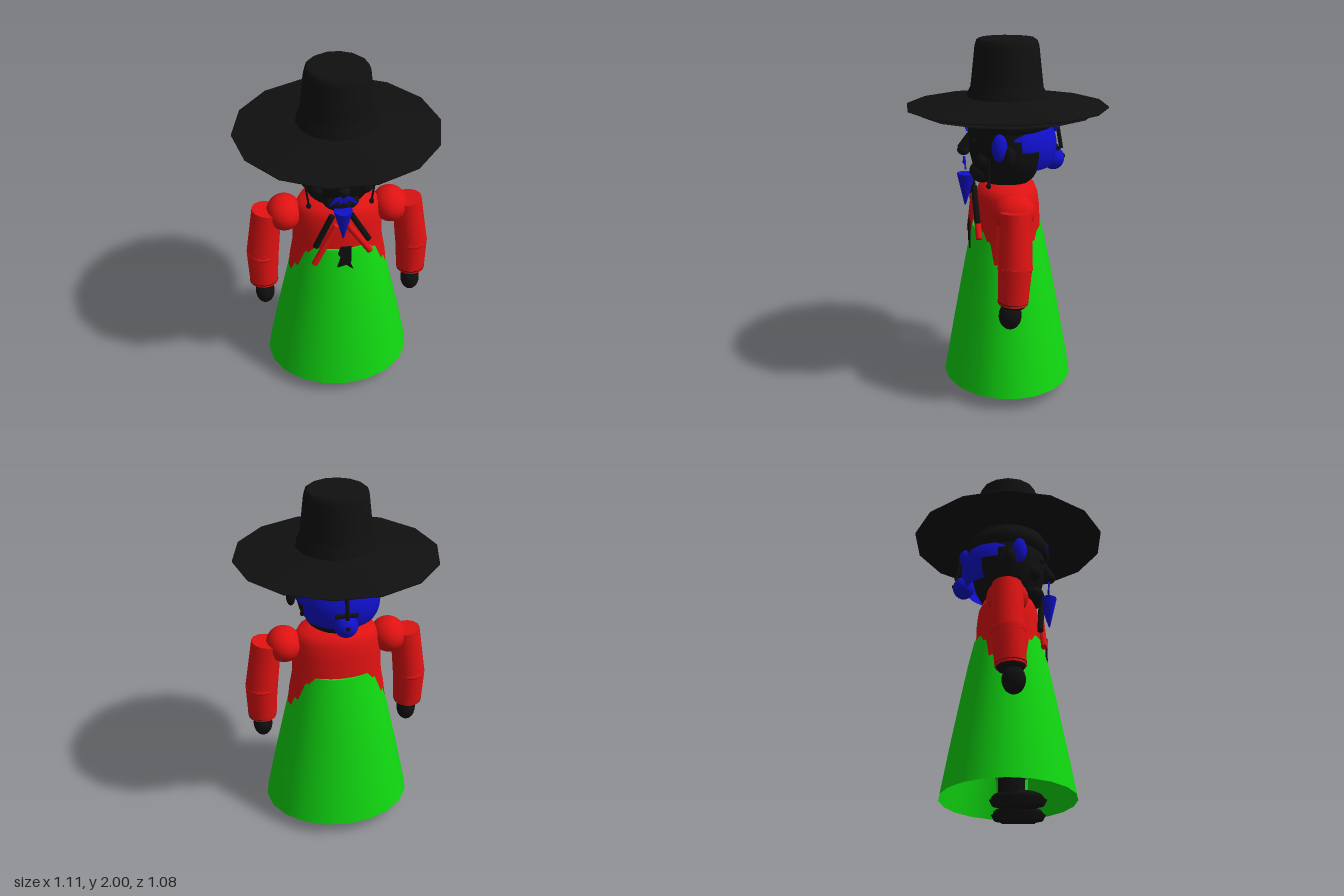
import * as THREE from 'three';

const mat = (name, color) => new THREE.MeshStandardMaterial({ name, color, side: THREE.DoubleSide });

export function createModel() {
  const black = mat('black', 0x101010), red = mat('red', 0xe01212);
  const green = mat('green', 0x11d811), blue = mat('blue', 0x1010cc);
  const model = new THREE.Group();
  const V = (x, y, z) => new THREE.Vector3(x, y, z);

  const add = (name, geo, m, p = [0, 0, 0], s = [1, 1, 1], r = [0, 0, 0]) => {
    const mesh = new THREE.Mesh(geo, m);
    mesh.name = name;
    mesh.position.set(...p);
    mesh.scale.set(...s);
    mesh.rotation.set(...r);
    model.add(mesh);
    return mesh;
  };
  const ball = (name, m, p, s, seg = 20) => add(name, new THREE.SphereGeometry(1, seg, 14), m, p, s);
  const lathe = (name, m, pts, seg, s) =>
    add(name, new THREE.LatheGeometry(pts.map(p => new THREE.Vector2(...p)), seg, Math.PI / 2), m, [0, 0, 0], s);
  // tapered rod between two points
  const rod = (name, m, a, b, ra, rb = ra, seg = 10) => {
    const from = V(...a), to = V(...b), d = to.clone().sub(from);
    const mesh = add(name, new THREE.CylinderGeometry(rb, ra, d.length(), seg), m);
    mesh.position.copy(from).add(to).multiplyScalar(0.5);
    mesh.quaternion.setFromUnitVectors(V(0, 1, 0), d.normalize());
    return mesh;
  };
  // thin plate cut from an outline
  const plate = (name, m, pts, p, r) => {
    const shape = new THREE.Shape(pts.map(q => new THREE.Vector2(...q)));
    return add(name, new THREE.ExtrudeGeometry(shape, { depth: 0.009, bevelEnabled: false }), m, p, [1, 1, 1], r);
  };

  // Hat: crown, wide brim and a lower brim lining
  lathe('hatCrown', black, [[0.225, 1.64], [0.22, 1.7], [0.2, 1.74], [0.195, 1.78], [0.175, 1.96], [0.165, 1.99], [0.15, 2], [0, 2]], 14);
  lathe('hatBrim', black, [[0.2, 1.632], [0.555, 1.632], [0.555, 1.638], [0.35, 1.665], [0.22, 1.69]], 14);
  lathe('hatLining', black, [[0.48, 1.6], [0.3, 1.635], [0.2, 1.65]], 14);

  // Head, hair under the hat and neck
  lathe('head', black, [[0, 1.18], [0.11, 1.2], [0.16, 1.24], [0.205, 1.32], [0.225, 1.4], [0.23, 1.48], [0.22, 1.56], [0.2, 1.64]], 24, [1, 1, 0.94]);
  lathe('hairline', black, [[0.2, 1.5], [0.235, 1.52], [0.252, 1.55], [0.245, 1.59], [0.21, 1.65]], 24, [1, 1, 0.98]);
  rod('neck', black, [0, 1.12, 0], [0, 1.24, 0], 0.1, 0.1, 16);

  // Face
  rod('noseBridge', black, [0, 1.48, 0.2], [0, 1.4, 0.245], 0.022, 0.034);
  ball('noseTip', black, [0, 1.395, 0.24], [0.036, 0.03, 0.036], 12);
  ball('chin', black, [0, 1.27, 0.14], [0.1, 0.06, 0.07]);
  rod('beard', blue, [0, 1.08, 0.235], [0, 1.26, 0.228], 0.004, 0.052, 12);
  for (const s of [-1, 1]) {
    ball('eye', black, [s * 0.09, 1.46, 0.18], [0.03, 0.022, 0.03], 12);
    ball('cheek', black, [s * 0.13, 1.36, 0.14], [0.045, 0.05, 0.05], 12);
    plate('eyebrow', blue, [[0.055, 0], [0.14, 0.0], [0.125, 0.014], [0.08, 0.016]].map(([x, y]) => [s * x, y]), [0, 1.525, 0.225]);
    plate('moustache', blue, [[0, 0.01], [0.04, 0], [0.078, -0.025], [0.045, 0.022], [0.015, 0.03]].map(([x, y]) => [s * x, y]), [0, 1.325, 0.232]);
    plate('lipBeard', blue, [[0.002, -0.005], [0.028, -0.02], [0.012, 0.004]].map(([x, y]) => [s * x, y]), [0, 1.325, 0.23]);
    ball('sideHair', blue, [s * 0.238, 1.45, 0.068], [0.036, 0.075, 0.042], 16);
    ball('ear', black, [s * 0.25, 1.4, 0.015], [0.026, 0.058, 0.034], 12);
    rod('hairCord', black, [s * 0.19, 1.38, 0.12], [s * 0.172, 1.235, 0.12], 0.006);
    ball('hairCordBead', black, [s * 0.172, 1.228, 0.12], [0.014, 0.016, 0.014], 10);
  }

  // Back hair shell, tying band, bun and pins
  const shell = (name, p0, p1, t0, t1) => add(name,
    new THREE.SphereGeometry(1, 24, 10, p0 * Math.PI, (p1 - p0) * Math.PI, t0, t1 - t0),
    blue, [0, 1.42, -0.03], [0.238, 0.23, 0.245]);
  shell('backHairUpper', 1.03, 1.97, 1.1, 1.58);
  shell('backHairLower', 1.16, 1.84, 1.58, 2.08);
  shell('leftHairBand', 0.86, 1.04, 1.13, 1.32);
  shell('rightHairBand', 1.96, 2.14, 1.13, 1.32);
  ball('bun', blue, [0, 1.335, -0.26], [0.065, 0.065, 0.062]);
  ball('topKnot', blue, [0, 1.53, -0.25], [0.06, 0.05, 0.04], 12);
  rod('bunPin', black, [0, 1.56, -0.275], [0, 1.39, -0.305], 0.011);
  rod('bunTie', black, [-0.06, 1.4, -0.275], [0.06, 1.4, -0.275], 0.013);
  ball('bunPinEnd', black, [0, 1.345, -0.316], [0.014, 0.014, 0.012], 10);

  // Torso and skirt
  lathe('torso', red, [[0.27, 0.72], [0.262, 0.8], [0.245, 0.9], [0.24, 0.97], [0.237, 1.08], [0.225, 1.15], [0.2, 1.2], [0.12, 1.222], [0, 1.225]], 24, [1.06, 1, 0.76]);
  lathe('skirt', green, [[0.427, 0.075], [0.37, 0.35], [0.315, 0.6], [0.27, 0.8], [0.228, 0.96]], 20, [1, 1, 0.86]);
  lathe('skirtTop', green, [[0.228, 0.96], [0.15, 0.965]], 20, [1, 1, 0.86]);

  // Crossed collar bands and belt knot
  rod('leftCollar', black, [0.05, 1.2, 0.19], [0.15, 1.015, 0.18], 0.017);
  rod('rightCollar', black, [-0.055, 1.2, 0.19], [-0.145, 0.99, 0.18], 0.017);
  rod('leftRibbon', red, [0.03, 1.13, 0.185], [0.16, 0.925, 0.172], 0.018);
  rod('rightRibbon', red, [-0.03, 1.13, 0.185], [-0.155, 0.885, 0.2], 0.018);
  plate('beltKnot', black, [[-0.012, 1], [0.048, 1], [0.05, 0.92], [0.045, 0.88], [0.06, 0.84], [0.02, 0.875], [-0.03, 0.86], [-0.01, 0.93], [-0.025, 0.95]], [0, 0, 0.212]);

  // Arms, hands, legs and shoes
  for (const s of [-1, 1]) {
    ball('shoulder', red, [s * 0.298, 1.115, 0], [0.1, 0.1, 0.115]);
    rod('upperSleeve', red, [s * 0.432, 0.84, 0.008], [s * 0.395, 1.14, 0], 0.092, 0.083, 14);
    ball('elbow', red, [s * 0.432, 0.85, 0.008], [0.09, 0.04, 0.095]);
    rod('lowerSleeve', red, [s * 0.433, 0.65, 0.02], [s * 0.432, 0.86, 0.008], 0.082, 0.092, 14);
    rod('cuff', black, [s * 0.433, 0.635, 0.022], [s * 0.433, 0.665, 0.02], 0.068, 0.084, 14);
    ball('hand', black, [s * 0.431, 0.58, 0.035], [0.055, 0.078, 0.062]);
    rod('leg', green, [s * 0.155, 0.15, 0.02], [s * 0.13, 0.75, 0], 0.085, 0.1, 14);
    rod('ankle', black, [s * 0.155, 0.03, 0.02], [s * 0.155, 0.17, 0.02], 0.07, 0.068, 14);
    ball('shoe', black, [s * 0.155, 0.045, 0.05], [0.075, 0.04, 0.135]);
    add('sole', new THREE.CylinderGeometry(1, 0.9, 0.03, 16), black, [s * 0.155, 0.02, 0.052], [0.076, 1, 0.148]);
    rod('shoeStrap', black, [s * 0.155 - 0.08, 0.085, 0.04], [s * 0.155 + 0.08, 0.085, 0.04], 0.012);
  }
  add('soles', new THREE.BoxGeometry(0.1, 0.012, 0.18), black, [0.155, 0.006, 0.05]);
  add('soles', new THREE.BoxGeometry(0.1, 0.012, 0.18), black, [-0.155, 0.006, 0.05]);
  return model;
}
